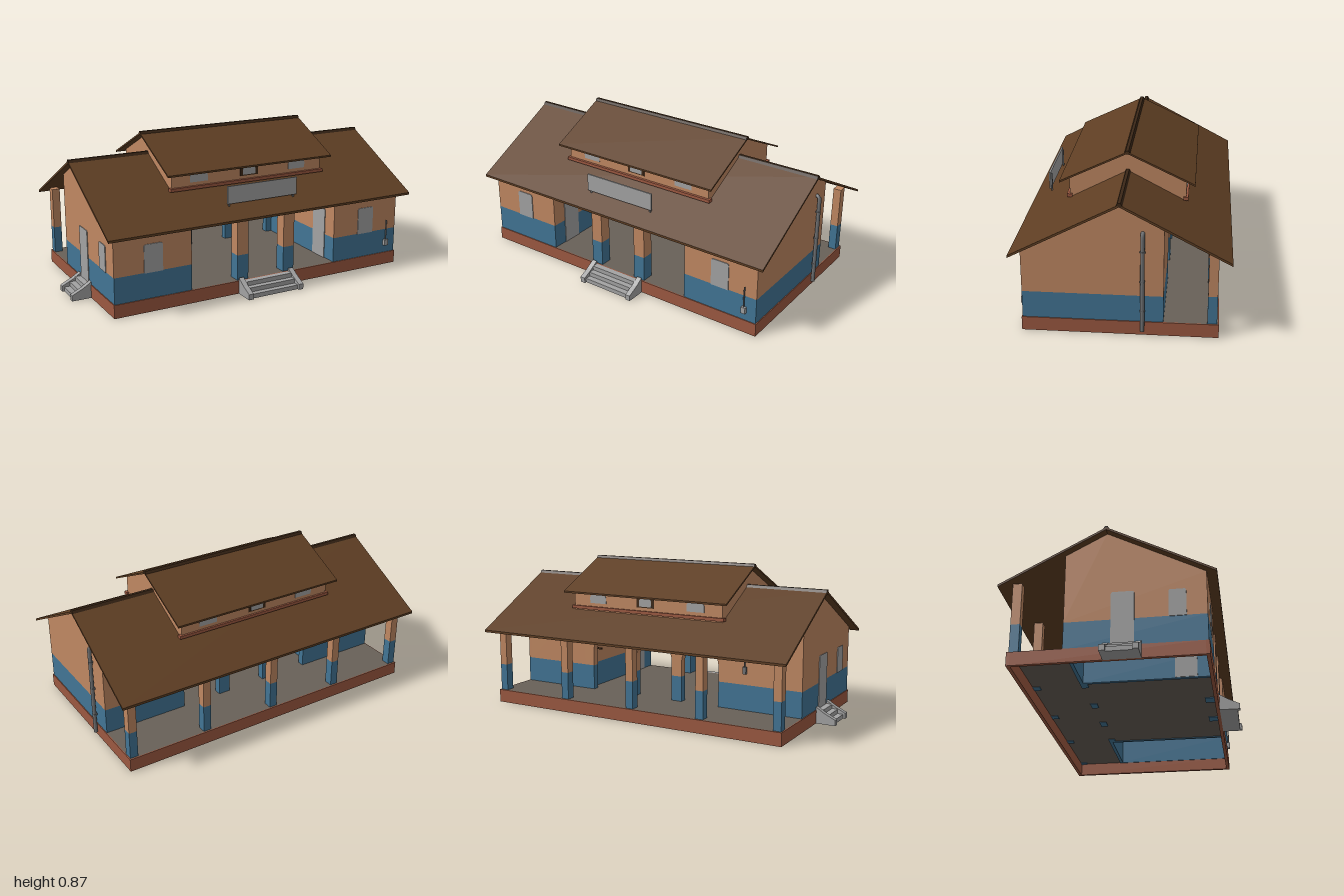
import * as THREE from 'three';

export function createModel() {
  const root = new THREE.Group();
  const mat = (name, color, side = THREE.FrontSide) => {
    const m = new THREE.MeshStandardMaterial({ color, side });
    m.name = name;
    return m;
  };
  const plaster = mat('orange plaster', 0xc08862);
  const blue = mat('blue dado', 0x427595);
  const brick = mat('red brick', 0x9c5941);
  const tile = mat('brown roof', 0x5e3e23);
  const dark = mat('dark wood', 0x3c2817);
  const grey = mat('light grey', 0xa3a3a3);
  const floorMat = mat('floor stone', 0x686058, THREE.DoubleSide);
  const metal = mat('pipe metal', 0x707274);

  const add = (name, geo, material, parent = root) => {
    const m = new THREE.Mesh(geo, material);
    m.name = name;
    parent.add(m);
    return m;
  };
  // box given by its limits on each axis
  const box = (name, material, x0, x1, y0, y1, z0, z1, parent = root) => {
    const m = add(name, new THREE.BoxGeometry(x1 - x0, y1 - y0, z1 - z0), material, parent);
    m.position.set((x0 + x1) / 2, (y0 + y1) / 2, (z0 + z1) / 2);
    return m;
  };
  // [z, y] outline drawn out along x
  const slab = (name, material, pts, x0, x1, parent = root) => {
    const s = new THREE.Shape(pts.map(([z, y]) => new THREE.Vector2(-z, y)));
    const g = new THREE.ExtrudeGeometry(s, { depth: x1 - x0, bevelEnabled: false });
    g.rotateY(Math.PI / 2).translate(x0, 0, 0);
    return add(name, g, material, parent);
  };
  // wall or post with a blue lower and an orange upper part
  const DADO = 0.222;
  const twoTone = (name, x0, x1, top, z0, z1, split = DADO) => {
    box(name + 'Dado', blue, x0, x1, 0.072, split, z0, z1);
    box(name + 'Upper', plaster, x0, x1, split, top, z0, z1);
  };
  const tube = (name, material, pts, r) => add(name, new THREE.TubeGeometry(
    new THREE.CatmullRomCurve3(pts.map(p => new THREE.Vector3(...p)), false, 'catmullrom', 0.1), 32, r, 10), material);

  const CX = 0.03, L = -0.885, R = 0.945, T = 0.02;
  const HALL = [-0.435, 0.495], BACK = -0.25, FRONT = 0.48;

  // plinth ring and floors
  box('plinthFront', brick, L - 0.005, R + 0.005, 0, 0.075, 0.465, 0.485);
  box('plinthBack', brick, L - 0.005, R + 0.005, 0, 0.075, -0.535, -0.515);
  for (const x of [L - 0.005, R - 0.015]) box('plinthSide', brick, x, x + 0.02, 0, 0.075, -0.515, 0.465);
  const floor = (name, x0, x1, z0, z1) => {
    const m = add(name, new THREE.PlaneGeometry(x1 - x0, z1 - z0).rotateX(-Math.PI / 2), floorMat);
    m.position.set((x0 + x1) / 2, 0.076, (z0 + z1) / 2);
  };
  floor('verandaFloor', L, R, -0.53, BACK);
  floor('hallFloor', ...HALL, BACK, 0.48);

  // gable end walls and the hall side walls
  for (const x of [L, HALL[0] - T, HALL[1], R - T]) {
    box('crossWallDado', blue, x, x + T, 0.072, DADO, BACK, FRONT);
    slab('crossWallGable', plaster,
      [[FRONT, DADO], [FRONT, 0.462], [-0.03, 0.732], [BACK, 0.615], [BACK, DADO]], x, x + T);
  }
  // front and back walls of the two rooms
  for (const [x0, x1] of [[L + T, HALL[0] - T], [HALL[1] + T, R - T]]) {
    twoTone('roomFrontWall', x0, x1, 0.462, FRONT - T, FRONT);
    twoTone('roomBackWall', x0, x1, 0.61, BACK, BACK + T);
  }

  // arcade wall at the back of the hall
  const arches = [[-0.385, -0.15], [-0.085, 0.15], [0.22, 0.455]];
  const arcade = new THREE.Shape();
  arcade.moveTo(HALL[0], 0.612);
  arcade.lineTo(HALL[0], DADO);
  for (const [a, b] of arches) {
    arcade.lineTo(a, DADO);
    arcade.lineTo(a, 0.305);
    arcade.absarc((a + b) / 2, 0.305, (b - a) / 2, Math.PI, 0, true);
    arcade.lineTo(b, DADO);
  }
  arcade.lineTo(HALL[1], DADO);
  arcade.lineTo(HALL[1], 0.612);
  add('arcadeWall', new THREE.ExtrudeGeometry(arcade, { depth: 0.04, bevelEnabled: false, curveSegments: 16 })
    .translate(0, 0, BACK), plaster);
  const edges = [HALL[0], ...arches.flat(), HALL[1]];
  for (let i = 0; i < edges.length; i += 2)
    box('arcadePierDado', blue, edges[i], edges[i + 1], 0.072, DADO, BACK, BACK + 0.04);
  for (const x of [-0.385, 0.455]) box('archBracket', dark, x - 0.03, x + 0.03 - 0.025 * (x < 0 ? 1 : 0), 0.315, 0.325, BACK + 0.04, BACK + 0.05);

  // porch columns in front and veranda posts behind
  for (const x of [-0.115, 0.185]) twoTone('porchColumn', x - 0.035, x + 0.035, 0.465, 0.405, 0.475);
  for (const dx of [-0.89, -0.44, 0, 0.44, 0.89])
    twoTone('verandaPost', CX + dx - 0.023, CX + dx + 0.023, 0.468, -0.525, -0.475, 0.232);

  // roofs with ridge caps
  const roof = (name, zf, yf, zb, yb, yr, t, x0, x1) => {
    slab(name, tile, [[zf, yf], [-0.03, yr], [zb, yb], [zb, yb - t], [-0.03, yr - t], [zf, yf - t]], x0, x1);
    slab(name + 'Ridge', dark, [[-0.012, yr - 0.012], [-0.022, yr + 0.007], [-0.038, yr + 0.007], [-0.048, yr - 0.012]], x0, x1);
  };
  roof('mainRoof', 0.535, 0.447, -0.592, 0.445, 0.741, 0.013, -0.93, 1.0);
  roof('lanternRoof', 0.335, 0.685, -0.392, 0.685, 0.858, 0.01, -0.5, 0.56);

  // raised lantern with sill bands and windows
  slab('lanternWalls', plaster, [[0.285, 0.568], [0.285, 0.698], [-0.03, 0.85], [-0.345, 0.698],
    [-0.345, 0.568], [-0.03, 0.732]], -0.455, 0.515);
  box('lanternSillFront', brick, -0.468, 0.528, 0.582, 0.6, 0.27, 0.3);
  box('lanternSillBack', brick, -0.468, 0.528, 0.582, 0.6, -0.356, -0.33);
  const pane = (name, material, x, y, z, w, h, r, depth = 0.006) => {
    const s = new THREE.Shape();
    s.moveTo(-w / 2, 0);
    s.lineTo(w / 2, 0);
    s.lineTo(w / 2, h - r);
    s.absarc(w / 2 - r, h - r, r, 0, Math.PI / 2, false);
    s.absarc(-w / 2 + r, h - r, r, Math.PI / 2, Math.PI, false);
    const m = add(name, new THREE.ExtrudeGeometry(s, { depth, bevelEnabled: false })
      .translate(0, 0, -depth / 2), material);
    m.position.set(x, y, z);
    return m;
  };
  for (const z of [0.285, -0.345]) {
    for (const x of [-0.29, 0.35]) pane('lanternWindow', grey, x, 0.62, z, 0.11, 0.055, 0.025);
    pane('lanternMiddleFrame', dark, CX, 0.618, z, 0.115, 0.057, 0.015);
    pane('lanternMiddleWindow', grey, CX, 0.624, z, 0.08, 0.045, 0.015, 0.009);
  }

  // front windows, side window and doors (seen from both faces of the wall)
  const D = T + 0.008;
  for (const x of [-0.66, 0.72]) pane('frontWindow', grey, x, 0.22, FRONT - T / 2, 0.108, 0.158, 0.012, D);
  const sidePane = (name, x, y, z, w, h) => {
    pane(name, grey, x, y, z, w, h, 0.01, D).rotation.y = Math.PI / 2;
  };
  sidePane('sideWindow', L + T / 2, 0.22, 0.33, 0.09, 0.15);
  sidePane('sideDoor', L + T / 2, 0.076, 0.052, 0.12, 0.3);
  sidePane('hallDoor', HALL[0] - T / 2, 0.076, 0.33, 0.12, 0.3);
  sidePane('hallDoor', HALL[1] + T / 2, 0.076, 0.33, 0.12, 0.3);

  // steps with sloping cheeks
  const steps = (name, width, x, z, turn) => {
    const g = new THREE.Group();
    g.name = name;
    const h = width / 2;
    for (let i = 0; i < 3; i++)
      box('tread', grey, -h + 0.03, h - 0.03, 0.025 * i, 0.025 * (i + 1), 0, 0.1 - 0.033 * i, g);
    for (const x0 of [-h, h - 0.03])
      slab('cheek', grey, [[0, 0], [0, 0.093], [0.05, 0.062], [0.113, 0.032], [0.113, 0]], x0, x0 + 0.03, g);
    g.position.set(x, 0, z);
    g.rotation.y = turn;
    root.add(g);
  };
  steps('frontSteps', 0.355, 0.032, 0.485, 0);
  steps('sideSteps', 0.195, L - 0.003, 0.052, -Math.PI / 2);

  // blank sign board on the front roof slope
  box('signBoard', grey, -0.195, 0.25, 0.515, 0.615, 0.436, 0.445);
  for (const x of [-0.18, 0.235]) box('signPost', metal, x - 0.005, x + 0.005, 0.48, 0.605, 0.428, 0.436);

  // downpipe on the left end wall
  tube('downpipe', metal, [[0.964, 0.03, -0.143], [0.964, 0.55, -0.143], [0.96, 0.568, -0.143], [0.935, 0.572, -0.143]], 0.011);
  for (const y of [0.145, 0.31, 0.475]) {
    const c = add('pipeClamp', new THREE.CylinderGeometry(0.014, 0.014, 0.008, 12), metal);
    c.position.set(0.962, y, -0.143);
  }

  // lever box on the front wall
  box('leverBox', grey, 0.862, 0.888, 0.122, 0.158, FRONT, 0.498);
  tube('leverRod', metal, [[0.875, 0.15, 0.487], [0.875, 0.22, 0.489], [0.875, 0.28, 0.486]], 0.004);

  // pipe run on the arcade's back face
  tube('wallPipe', metal, [[0.03, 0.49, -0.268], [-0.5, 0.43, -0.262], [-0.55, 0.41, -0.262], [-0.55, 0.3, -0.262]], 0.004);
  box('pipeBracket', metal, 0.02, 0.04, 0.485, 0.495, -0.278, BACK);
  box('pipeTap', metal, -0.56, -0.54, 0.285, 0.325, -0.266, BACK);

  return root;
}
